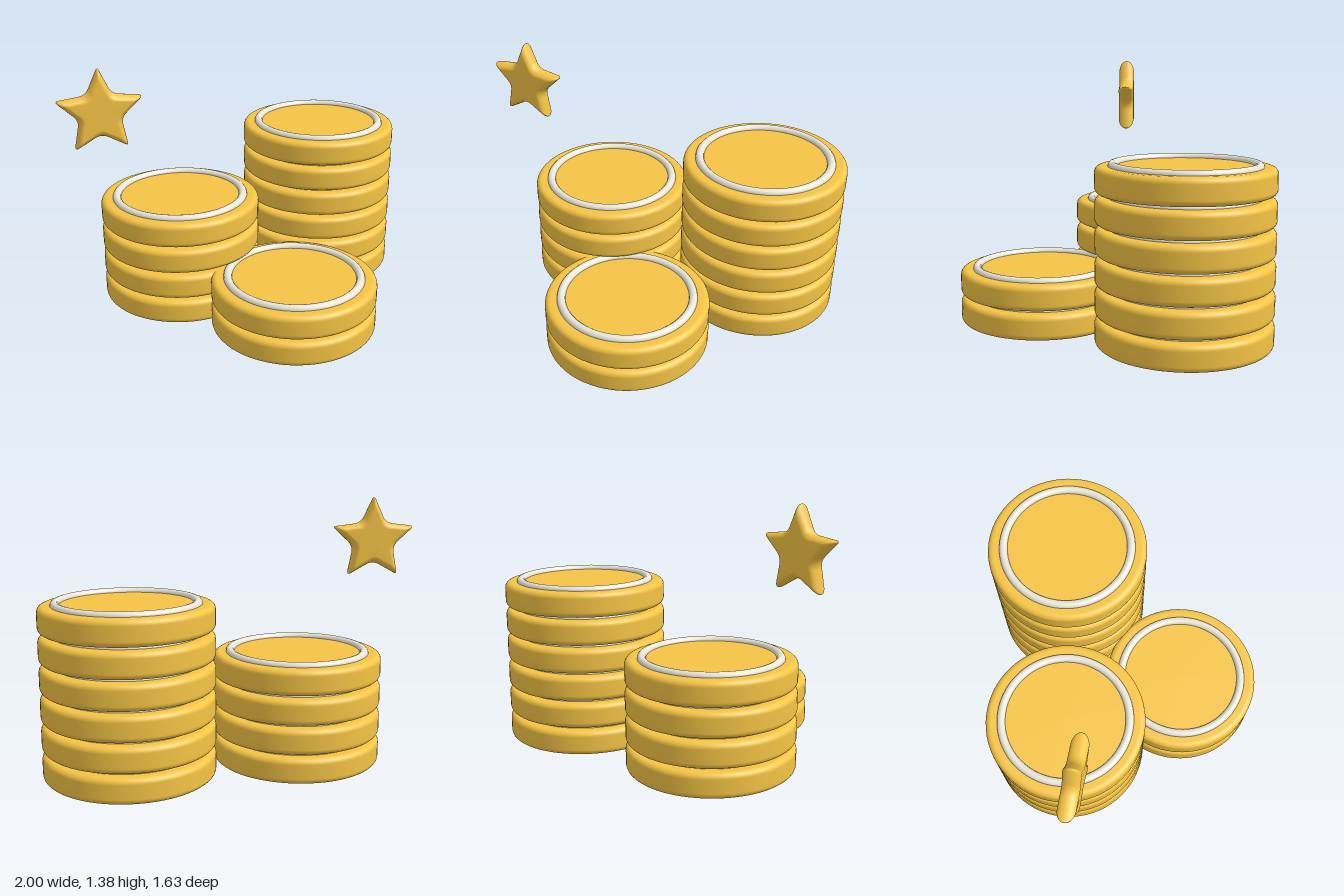
import * as THREE from 'three';

const gold = new THREE.MeshStandardMaterial({ color: 0xf5c445 });
const silver = new THREE.MeshStandardMaterial({ color: 0xeae6d8 });

const RADIUS = 0.443, THICK = 0.133, PITCH = 0.151, EDGE = 0.03;

function mesh(name, geometry, material) {
  const m = new THREE.Mesh(geometry, material);
  m.name = name;
  return m;
}

// Disc with rounded rims, standing on y = 0
function coinGeometry() {
  const pts = [new THREE.Vector2(0, 0), new THREE.Vector2(RADIUS - EDGE - 0.005, 0)];
  const arc = (cy, from) => {
    for (let i = 0; i <= 6; i++) {
      const a = from + (i / 6) * Math.PI / 2;
      pts.push(new THREE.Vector2(RADIUS - EDGE + EDGE * Math.cos(a), cy + EDGE * Math.sin(a)));
    }
  };
  arc(EDGE, -Math.PI / 2);
  arc(THICK - EDGE, 0);
  pts.push(new THREE.Vector2(RADIUS - EDGE - 0.005, THICK), new THREE.Vector2(0, THICK));
  return new THREE.LatheGeometry(pts, 64);
}

// Five-pointed outline with softened corners
function starOutline(tip, valley) {
  const corners = Array.from({ length: 10 }, (_, i) => {
    const a = Math.PI / 2 + i * Math.PI / 5, r = i % 2 ? valley : tip;
    return new THREE.Vector2(Math.cos(a) * r, Math.sin(a) * r);
  });
  const pts = [];
  corners.forEach((c, i) => {
    const f = i % 2 ? 0.25 : 0.13;
    const a = c.clone().lerp(corners[(i + 9) % 10], f);
    const b = c.clone().lerp(corners[(i + 1) % 10], f);
    pts.push(...new THREE.QuadraticBezierCurve(a, c, b).getPoints(6));
  });
  return pts;
}

// Puffy star: outlines stacked from back to front, closed by a centre point on each face
function starGeometry(half) {
  const pos = [0, 0, -half], index = [], loops = 17;
  let n = 0;
  for (let k = 0; k < loops; k++) {
    const t = (k / (loops - 1) - 0.5) * Math.PI;
    const inset = 1 - Math.cos(t);
    const outline = starOutline(0.237 - 0.07 * inset, 0.114 - 0.036 * inset);
    n = outline.length;
    outline.forEach(p => pos.push(p.x, p.y, half * Math.sin(t)));
  }
  pos.push(0, 0, half);
  const last = pos.length / 3 - 1;
  for (let i = 0; i < n; i++) {
    const j = (i + 1) % n;
    index.push(0, 1 + j, 1 + i);
    for (let k = 0; k < loops - 1; k++) {
      const a = 1 + k * n + i, b = 1 + k * n + j;
      index.push(a, b, b + n, a, b + n, a + n);
    }
    index.push(last, last - n + i, last - n + j);
  }
  const g = new THREE.BufferGeometry();
  g.setAttribute('position', new THREE.Float32BufferAttribute(pos, 3));
  g.setIndex(index);
  g.computeVertexNormals();
  return g;
}

export function createModel() {
  const model = new THREE.Group();
  model.name = 'coinStacks';

  const coinGeo = coinGeometry();
  const ringGeo = new THREE.TorusGeometry(0.355, 0.023, 12, 64).rotateX(-Math.PI / 2);

  // Three stacks of coins, each coin with a raised ring on top
  const stacks = [
    { name: 'middleStack', x: -0.34, z: -0.22, count: 4 },
    { name: 'tallStack', x: 0.553, z: -0.377, count: 6 },
    { name: 'shortStack', x: 0.132, z: 0.37, count: 2 },
  ];
  for (const { name, x, z, count } of stacks) {
    const stack = new THREE.Group();
    stack.name = name;
    stack.position.set(x, 0, z);
    for (let i = 0; i < count; i++) {
      const coin = mesh('coin', coinGeo, gold);
      const ring = mesh('coinRing', ringGeo, silver);
      coin.position.y = i * PITCH;
      ring.position.y = i * PITCH + THICK;
      stack.add(coin, ring);
    }
    model.add(stack);
  }

  // Floating star
  const star = mesh('star', starGeometry(0.045), gold);
  star.position.set(-0.784, 1.155, -0.057);
  model.add(star);

  return model;
}
